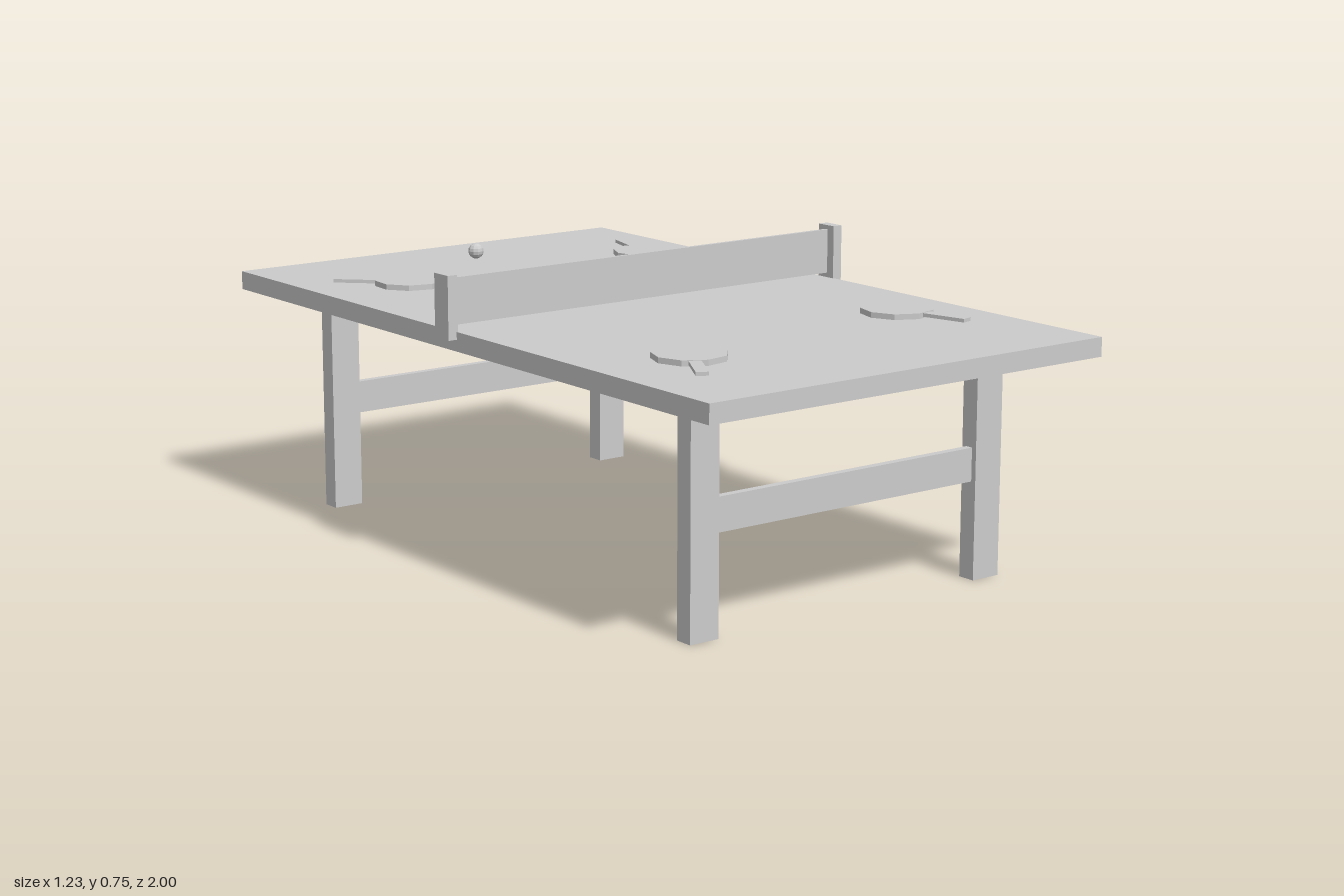
import * as THREE from 'three';

export function createModel() {
  const model = new THREE.Group();
  const grey = new THREE.MeshStandardMaterial({ color: 0xcccccc, flatShading: true });

  function add(parent, name, geometry, x, y, z) {
    const mesh = new THREE.Mesh(geometry, grey);
    mesh.name = name;
    mesh.position.set(x, y, z);
    parent.add(mesh);
    return mesh;
  }
  const box = (parent, name, w, h, d, x, y, z) =>
    add(parent, name, new THREE.BoxGeometry(w, h, d), x, y, z);

  // Table top
  box(model, 'tableTop', 1.184, 0.048, 2, 0, 0.589, 0);

  // Two leg frames, each a pair of legs joined by a stretcher
  for (const end of [1, -1]) {
    const frame = new THREE.Group();
    frame.name = end > 0 ? 'frontLegFrame' : 'backLegFrame';
    frame.position.z = end * 0.764;
    for (const side of [1, -1]) {
      box(frame, side > 0 ? 'leftLeg' : 'rightLeg', 0.082, 0.565, 0.048, side * 0.435, 0.2825, 0);
    }
    box(frame, 'stretcher', 0.79, 0.084, 0.02, 0, 0.287, 0);
    model.add(frame);
  }

  // Net stretched between two side posts
  box(model, 'net', 1.18, 0.115, 0.01, 0, 0.6825, 0);
  for (const side of [1, -1]) {
    box(model, side > 0 ? 'leftNetPost' : 'rightNetPost', 0.027, 0.157, 0.058, side * 0.602, 0.6725, 0);
  }

  // Paddles: blade centre and the far end of the handle, as [x, z]
  const paddles = [
    [[-0.345, -0.56], [-0.487, -0.7]],
    [[0.413, -0.548], [0.466, -0.738]],
    [[-0.34, 0.61], [-0.444, 0.788]],
    [[0.4, 0.49], [0.45, 0.688]],
  ];
  for (const [[x, z], [hx, hz]] of paddles) {
    const paddle = new THREE.Group();
    paddle.name = 'paddle';
    paddle.position.set(x, 0.621, z);
    paddle.rotation.y = Math.atan2(hx - x, hz - z);
    const reach = Math.hypot(hx - x, hz - z);
    const blade = add(paddle, 'blade', new THREE.CylinderGeometry(0.091, 0.091, 0.014, 9), 0, 0, 0);
    blade.rotation.y = Math.PI; // a flat side meets the handle
    box(paddle, 'handle', 0.03, 0.009, reach - 0.08, 0, 0.001, (reach + 0.08) / 2);
    model.add(paddle);
  }

  // Ball
  add(model, 'ball', new THREE.SphereGeometry(0.021, 10, 8), 0, 0.638, -0.768);

  return model;
}
